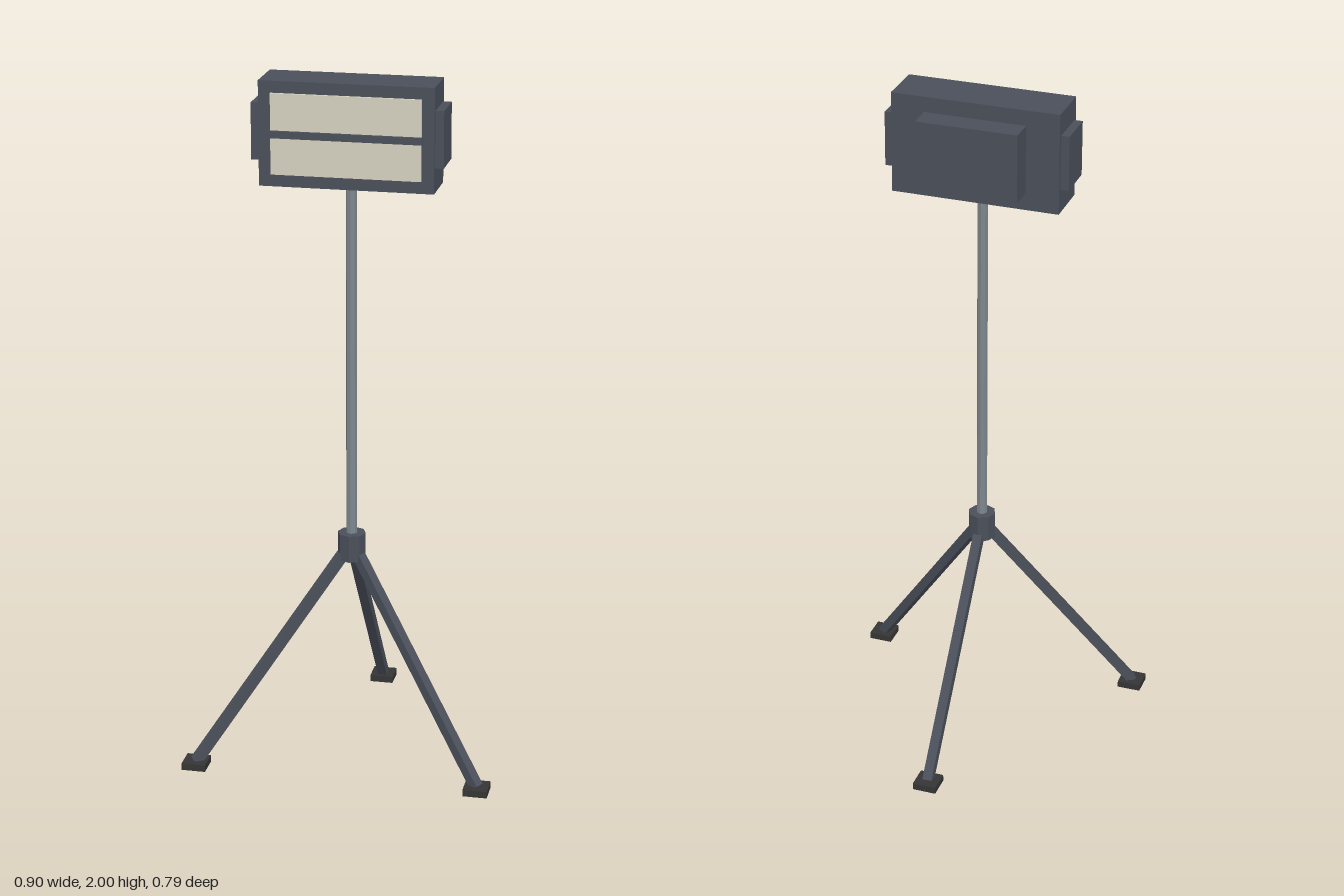
import * as THREE from 'three';

const mat = (name, color, flatShading = false) => {
  const m = new THREE.MeshStandardMaterial({ color, flatShading });
  m.name = name;
  return m;
};

export function createModel() {
  const housing = mat('slate grey', 0x4a4f5a, true);
  const steel = mat('pole steel', 0x7d878e, true);
  const rubber = mat('dark rubber', 0x353536, true);
  const glass = mat('warm lens', 0xd6d2c0, true);

  const model = new THREE.Group();
  model.name = 'tripodFloodlight';
  const axisZ = 0.117;

  const add = (parent, name, geometry, material) => {
    const mesh = new THREE.Mesh(geometry, material);
    mesh.name = name;
    parent.add(mesh);
    return mesh;
  };
  // Box given by its minimum and maximum corners
  const box = (parent, name, material, [x0, y0, z0], [x1, y1, z1]) => {
    const mesh = add(parent, name, new THREE.BoxGeometry(x1 - x0, y1 - y0, z1 - z0), material);
    mesh.position.set((x0 + x1) / 2, (y0 + y1) / 2, (z0 + z1) / 2);
    return mesh;
  };

  // Lamp head: housing, rear box, side caps, lens and divider
  const head = new THREE.Group();
  head.name = 'lampHead';
  model.add(head);
  box(head, 'housing', housing, [-0.245, 1.705, 0.048], [0.245, 2, 0.19]);
  box(head, 'rearBox', housing, [-0.148, 1.755, -0.024], [0.148, 1.955, 0.048]);
  for (const s of [-1, 1]) {
    const cap = box(head, s > 0 ? 'leftCap' : 'rightCap', housing, [0.245, 1.775, 0.06], [0.269, 1.935, 0.178]);
    cap.position.x *= s;
  }
  box(head, 'lens', glass, [-0.21, 1.74, 0.19], [0.21, 1.967, 0.198]);
  box(head, 'lensDivider', housing, [-0.214, 1.844, 0.198], [0.214, 1.864, 0.207]);

  // Pole and hub
  const pole = add(model, 'pole', new THREE.CylinderGeometry(0.016, 0.016, 1.1, 8), steel);
  pole.position.set(0, 1.155, axisZ);
  const hub = add(model, 'hub', new THREE.CylinderGeometry(0.041, 0.041, 0.08, 8), housing);
  hub.position.set(0, 0.632, axisZ);

  // Three splayed legs, one pointing straight back
  const top = new THREE.Vector2(0.028, 0.605);
  const bottom = new THREE.Vector2(0.477, 0.016);
  const span = bottom.clone().sub(top);
  [Math.PI, Math.PI / 3, -Math.PI / 3].forEach((angle) => {
    const arm = new THREE.Group();
    arm.name = 'legArm';
    arm.position.z = axisZ;
    arm.rotation.y = angle;
    model.add(arm);
    const leg = add(arm, 'leg', new THREE.BoxGeometry(0.028, span.length(), 0.028), housing);
    leg.position.set(0, (top.y + bottom.y) / 2, (top.x + bottom.x) / 2);
    leg.rotation.x = Math.atan2(span.x, span.y);

    // Square foot kept aligned with the main axes
    const foot = add(model, 'foot', new THREE.BoxGeometry(0.07, 0.02, 0.07), rubber);
    foot.position.set(Math.sin(angle) * 0.477, 0.01, axisZ + Math.cos(angle) * 0.477);
  });

  return model;
}
